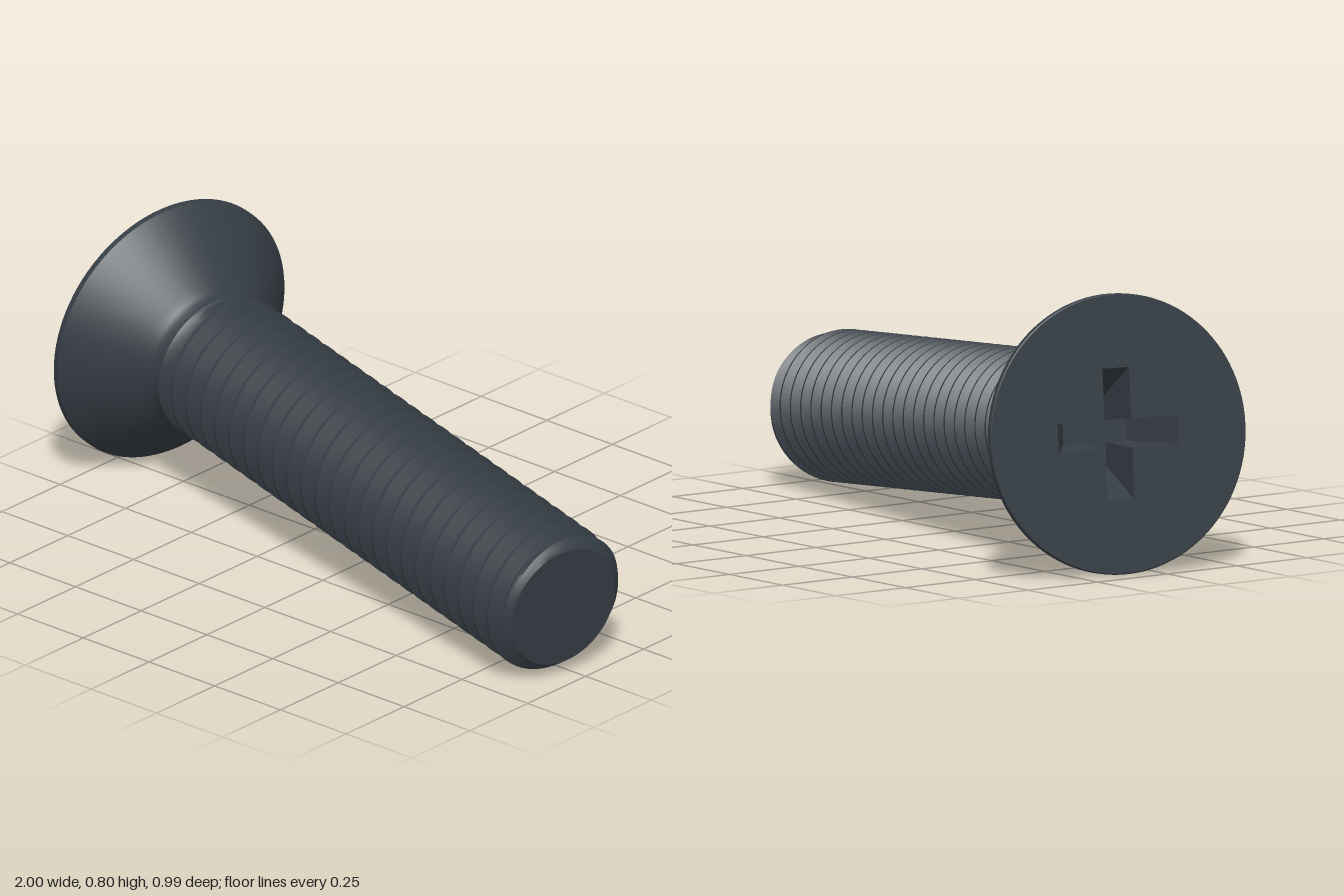
import * as THREE from 'three';
import { toCreasedNormals } from 'three/addons/utils/BufferGeometryUtils.js';

const HEAD_R = 0.402, CREST = 0.22, ROOT = 0.182;
const LENGTH = 1.915, START = 0.235, PITCH = 0.0691, CREST_AT = 0.306;

// Shank with a helical thread; local -y runs towards the tip
function threadGeometry() {
  const keys = [[-0.0625, CREST], [0.0625, CREST], [0.22, (CREST + ROOT) / 2],
    [0.375, ROOT], [0.625, ROOT], [0.78, (CREST + ROOT) / 2]];
  const seg = 72, rows = [];
  for (let n = -3; n <= 25; n++) {
    for (const [f, r] of keys) rows.push([CREST_AT + PITCH * (n + f), r]);
  }
  const pos = [], sAt = [], index = [];
  rows.forEach(([base, radius]) => {
    for (let j = 0; j <= seg; j++) {
      const t = (j / seg) * Math.PI * 2;
      const raw = base + (PITCH * j) / seg;
      const s = THREE.MathUtils.clamp(raw, START, LENGTH);
      // run-in at the neck and chamfer at the tip
      const r = s !== raw ? ROOT : Math.min(radius, 0.195 + s - START, 0.184 + LENGTH - s);
      pos.push(r * Math.cos(t), -s, r * Math.sin(t));
      sAt.push(s);
    }
  });
  for (let i = 0; i < rows.length - 1; i++) {
    for (let j = 0; j < seg; j++) {
      const a = i * (seg + 1) + j, b = a + 1, c = a + seg + 1, d = c + 1;
      if (sAt[a] !== sAt[c]) index.push(a, b, c);
      if (sAt[b] !== sAt[d]) index.push(b, d, c);
    }
  }
  const g = new THREE.BufferGeometry();
  g.setAttribute('position', new THREE.Float32BufferAttribute(pos, 3));
  g.setIndex(index);
  return toCreasedNormals(g, 0.6);
}

// Outline of the cross recess, counterclockwise
function crossPoints(reach, half) {
  const pts = [];
  for (let k = 0; k < 4; k++) {
    const c = new THREE.Vector2();
    [[reach, -half], [reach, half], [half, half]].forEach(([x, y]) => {
      pts.push(new THREE.Vector2(x, y).rotateAround(c, (k * Math.PI) / 2));
    });
  }
  return pts;
}

// Tapering walls between two outlines, facing into the recess
function recessWalls(top, bottom, depth) {
  const pos = [];
  const put = (p, y) => pos.push(p.x, y, -p.y);
  top.forEach((a, i) => {
    const k = (i + 1) % top.length, b = top[k], c = bottom[i], d = bottom[k];
    put(a, 0); put(b, 0); put(c, -depth);
    put(b, 0); put(d, -depth); put(c, -depth);
  });
  const g = new THREE.BufferGeometry();
  g.setAttribute('position', new THREE.Float32BufferAttribute(pos, 3));
  g.computeVertexNormals();
  return g;
}

export function createModel() {
  const steel = new THREE.MeshStandardMaterial({ color: 0x353d44 });
  steel.name = 'dark steel';
  const steelInside = steel;
  const model = new THREE.Group();
  model.name = 'countersunkScrew';
  const screw = new THREE.Group();
  screw.name = 'screw';
  model.add(screw);
  const add = (name, geometry, y = 0) => {
    const mesh = new THREE.Mesh(geometry, steelInside);
    mesh.name = name;
    mesh.position.y = y;
    screw.add(mesh);
  };

  // Countersunk head, fillet and neck
  const profile = [[0.17, -0.275], [0.207, -0.245], [0.208, -0.222], [0.216, -0.205],
    [0.235, -0.186], [0.398, -0.026], [HEAD_R, -0.02], [HEAD_R, -0.003], [0.399, 0]]
    .map(([x, y]) => new THREE.Vector2(x, y));
  add('head', toCreasedNormals(new THREE.LatheGeometry(profile, 96), 0.5));

  // Flat face with the cross opening
  const top = crossPoints(0.19, 0.042), bottom = crossPoints(0.1, 0.032), depth = 0.16;
  const face = new THREE.Shape().absarc(0, 0, 0.399, 0, Math.PI * 2);
  face.holes.push(new THREE.Path(top));
  add('headFace', new THREE.ShapeGeometry(face, 48).rotateX(-Math.PI / 2));

  // Driver recess
  add('recessWalls', recessWalls(top, bottom, depth));
  add('recessFloor', new THREE.ShapeGeometry(new THREE.Shape(bottom)).rotateX(-Math.PI / 2), -depth);

  // Threaded shank and its flat end
  add('threadedShank', threadGeometry());
  add('tipFace', new THREE.CircleGeometry(ROOT, 72).rotateX(Math.PI / 2), -LENGTH);

  // Lay the screw down along its slanted axis
  const yAxis = new THREE.Vector3(-1.865, 0.182, -0.4).normalize();
  const xAxis = new THREE.Vector3(0, 1, 0).addScaledVector(yAxis, -yAxis.y).normalize();
  const zAxis = new THREE.Vector3().crossVectors(xAxis, yAxis);
  screw.quaternion.setFromRotationMatrix(new THREE.Matrix4().makeBasis(xAxis, yAxis, zAxis));
  screw.position.set(-0.907, 0.401, -0.105);
  return model;
}
